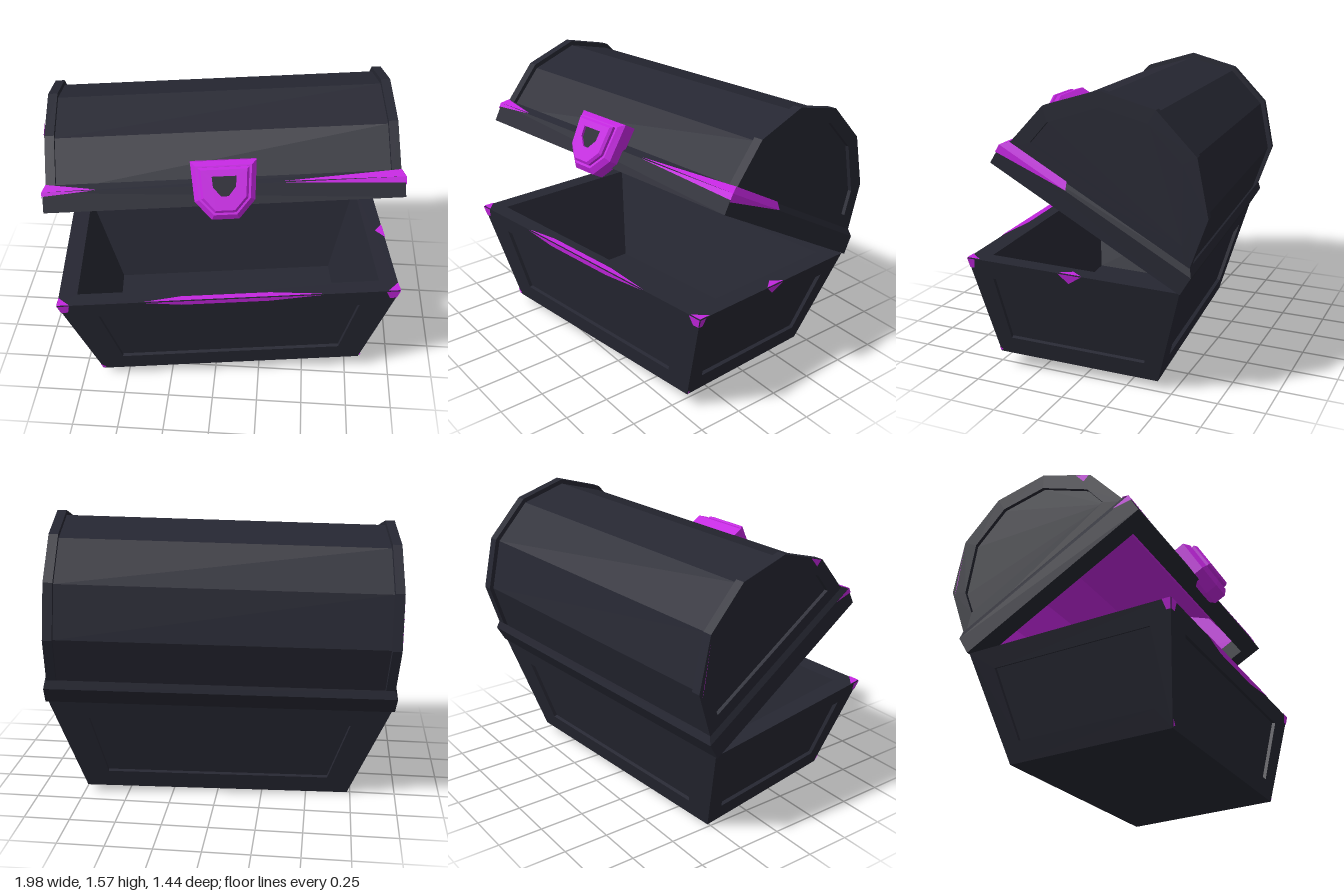
import * as THREE from 'three';

const dark = new THREE.MeshStandardMaterial({ color: 0x262732, flatShading: true });
dark.name = 'charcoal';
const violet = new THREE.MeshStandardMaterial({ color: 0xc426e0, flatShading: true, side: THREE.DoubleSide });
violet.name = 'violet';

const V = (x, y, z) => new THREE.Vector3(x, y, z);

// Mesh from a list of convex polygons, corners counter-clockwise from outside
function polyMesh(name, polys, material) {
  const pos = [];
  for (const p of polys)
    for (let i = 1; i < p.length - 1; i++) for (const v of [p[0], p[i], p[i + 1]]) pos.push(v.x, v.y, v.z);
  const g = new THREE.BufferGeometry();
  g.setAttribute('position', new THREE.Float32BufferAttribute(pos, 3));
  g.computeVertexNormals();
  const m = new THREE.Mesh(g, material);
  m.name = name;
  return m;
}

// Quads joining two closed loops of equal length
const ring = (a, b) => a.map((p, i) => {
  const j = (i + 1) % a.length;
  return [p, a[j], b[j], b[i]];
});
// Frame around a recessed floor
const panel = (outer, inner, floor) => [...ring(outer, inner), ...ring(inner, floor), floor];

const normalOf = (a, b, c) => b.clone().sub(a).cross(c.clone().sub(a)).normalize();
const onQuad = (q, u, v, lift = 0) =>
  q[0].clone().lerp(q[1], u).lerp(q[3].clone().lerp(q[2], u), v).addScaledVector(normalOf(q[0], q[1], q[3]), lift);

function makeBase() {
  const base = new THREE.Group();
  base.name = 'base';
  const signs = [[-1, 1], [1, 1], [1, -1], [-1, -1]];
  const rect = (hx, hz, y) => signs.map(([sx, sz]) => V(sx * hx, y, sz * hz));
  const H = 0.57;
  const bottom = rect(0.735, 0.44, 0), top = rect(0.92, 0.56, H);
  const sides = [0, 1, 2, 3].map(k => {
    const n = (k + 1) % 4;
    return [bottom[k], bottom[n], top[n], top[k]];
  });

  // Sloping walls with sunken panels
  const uv = [[0.1, 0.18], [0.9, 0.18], [0.9, 0.82], [0.1, 0.82]];
  sides.forEach(q => base.add(polyMesh('wallPanel',
    panel(q, uv.map(([u, v]) => onQuad(q, u, v)), uv.map(([u, v]) => onQuad(q, u, v, -0.02))), dark)));
  base.add(polyMesh('baseInterior', panel(top, rect(0.82, 0.465, H), rect(0.66, 0.36, 0.05)), dark));
  base.add(polyMesh('baseUnderside', [[...bottom].reverse()], dark));

  // Worn patches along the edges
  const chip = (q, pts) => base.add(polyMesh('wornPatch', [pts.map(([u, v]) => onQuad(q, u, v, 0.004))], violet));
  chip(sides[0], [[0.25, 1], [0.36, 0.95], [0.62, 0.95], [0.78, 1]]);
  chip(top, [[0.25, 0], [0.78, 0], [0.62, 0.03], [0.36, 0.03]]);
  chip(sides[1], [[0.44, 1], [0.49, 0.91], [0.55, 1]]);
  chip(top, [[1, 0.44], [1, 0.55], [0.975, 0.5]]);
  for (const k of [0, 1]) {
    chip(sides[k], [[0, 1], [0, 0.91], [0.02, 0.91], [0.035, 1]]);
    chip(sides[(k + 3) % 4], [[1, 1], [0.96, 1], [0.98, 0.91], [1, 0.91]]);
    const x = k, e = k ? 0.965 : 0.035;
    chip(top, [[x, 0], [e, 0], [x, 0.06]]);
  }
  chip(sides[0], [[0, 0.08], [0, 0.01], [0.015, 0.03]]);
  chip(sides[1], [[0, 0.01], [0.02, 0.03], [0, 0.05]]);
  return base;
}

function makeLid() {
  const lid = new THREE.Group();
  lid.name = 'lid';
  // Mirrored arch profiles as [z, y], from back to front
  const arch = half => [...half.map(([z, y]) => [-z, y]), ...half.slice(0, -1).reverse()];
  const trim = arch([[0.54, 0.105], [0.48, 0.393], [0.28, 0.612], [0, 0.69]]);
  const dome = arch([[0.52, 0.105], [0.46, 0.378], [0.266, 0.59], [0, 0.664]]);
  const inset = arch([[0.445, 0.2], [0.42, 0.335], [0.237, 0.545], [0, 0.612]]);
  const hollow = arch([[0.465, 0.1], [0.43, 0.35], [0.25, 0.55], [0, 0.61]]);
  const at = (profile, x) => profile.map(([z, y]) => V(x, y, z));
  const strip = (a, b) => a.slice(0, -1).map((p, i) => [a[i + 1], b[i + 1], b[i], p]);
  const X = 0.92, T = 0.87, C = 0.815;

  // Arched shell with a raised band at each end
  const loops = [at(trim, -X), at(trim, -T), at(dome, -T), at(dome, T), at(trim, T), at(trim, X)];
  lid.add(polyMesh('archedShell', loops.slice(1).flatMap((l, i) => strip(loops[i], l)), dark));
  for (const s of [1, -1]) {
    const l = [at(trim, s * X), at(inset, s * X), at(inset, s * (X - 0.02))];
    if (s < 0) l.forEach(a => a.reverse());
    lid.add(polyMesh('lidEndPanel', panel(...l), dark));
  }

  // Coloured lining
  lid.add(polyMesh('lidLining', [
    ...strip(at(hollow, -C), at(hollow, C)).map(p => p.reverse()),
    at(hollow, -C), at(hollow, C).reverse()], violet));

  // Rim frame with a bevelled upper edge
  const RX = 0.935, RZ = 0.565;
  const box = (P, x, z) => {
    const p = new P();
    p.moveTo(-x, -z).lineTo(x, -z).lineTo(x, z).lineTo(-x, z).closePath();
    return p;
  };
  const shape = box(THREE.Shape, RX, RZ);
  shape.holes.push(box(THREE.Path, C, 0.465));
  const rimGeo = new THREE.ExtrudeGeometry(shape, { depth: 0.105, bevelEnabled: false });
  const rim = new THREE.Mesh(rimGeo.rotateX(-Math.PI / 2), dark);
  rim.name = 'lidRim';
  lid.add(rim);
  const rect = (x, z, y) => [V(-x, y, z), V(x, y, z), V(x, y, -z), V(-x, y, -z)];
  lid.add(polyMesh('rimBevel', ring(rect(RX, RZ, 0.105), rect(0.918, 0.532, 0.14)), dark));

  // Worn patches on the rim and end band
  const chip = (...pts) => lid.add(polyMesh('wornPatch', [pts.map(p => V(...p))], violet));
  chip([0.3, 0.112, 0.565], [0.939, 0.108, 0.569], [0.92, 0.144, 0.537]);
  chip([0.3, 0.105, 0.569], [0.939, 0.075, 0.569], [0.939, 0.108, 0.569]);
  chip([0.939, 0.108, 0.569], [0.939, 0.108, 0.17], [0.922, 0.144, 0.19], [0.922, 0.144, 0.537]);
  chip([0.939, 0.065, 0.569], [0.939, 0.108, 0.17], [0.939, 0.108, 0.569]);
  chip([-0.939, 0.108, 0.569], [-0.66, 0.112, 0.565], [-0.92, 0.144, 0.537]);
  chip([-0.939, 0.085, 0.569], [-0.66, 0.108, 0.569], [-0.939, 0.108, 0.569]);
  chip([-0.939, 0.075, 0.569], [-0.939, 0.108, 0.569], [-0.939, 0.108, 0.46]);
  chip([-0.924, 0.36, -0.48], [-0.924, 0.41, -0.435], [-0.924, 0.6, -0.285]);
  chip([-0.924, 0.4, 0.47], [-0.924, 0.46, 0.415], [-0.924, 0.39, 0.43]);

  lid.add(makeClasp());
  return lid;
}

function makeClasp() {
  const clasp = new THREE.Group();
  clasp.name = 'clasp';
  const half = [[0.17, 0.235], [0.155, 0.03], [0.07, -0.065]];
  const hole = [[0.075, 0.17], [0.07, 0.1], [0.025, 0.045]];
  const outline = (h, s) => [...h, ...h.map(([x, y]) => [-x, y]).reverse()]
    .map(([x, y]) => new THREE.Vector2(x * s, 0.1 + (y - 0.1) * s));
  const add = (name, s, material, z, depth, bevel, cut) => {
    const shape = new THREE.Shape(outline(cut === 'self' ? hole : half, s));
    if (cut === true) shape.holes.push(new THREE.Path(outline(hole, 1)));
    const g = new THREE.ExtrudeGeometry(shape, {
      depth, bevelEnabled: bevel > 0, bevelSize: bevel, bevelThickness: bevel, bevelOffset: -bevel, bevelSegments: 1,
    });
    const m = new THREE.Mesh(g, material);
    m.position.z = z;
    m.name = name;
    clasp.add(m);
  };
  // Shield body, raised ring and dark keyhole
  add('claspBody', 1, violet, 0.55, 0.07, 0.025, false);
  add('claspRing', 0.77, violet, 0.645, 0.016, 0.012, true);
  add('keyhole', 1.1, dark, 0.644, 0.005, 0, 'self');
  return clasp;
}

export function createModel() {
  const chest = new THREE.Group();
  chest.name = 'chest';
  chest.add(makeBase());

  // Lid swung open on the back edge
  const hinge = new THREE.Group();
  hinge.name = 'lidHinge';
  hinge.position.set(0, 0.572, -0.56);
  hinge.rotation.x = -0.478;
  const lid = makeLid();
  lid.position.z = 0.56;
  hinge.add(lid);
  chest.add(hinge);

  // Slight overall tilt
  chest.rotation.set(-0.057, 0.107, 0.031, 'YXZ');
  chest.position.set(0.045, 0.05, 0.1);

  const model = new THREE.Group();
  model.name = 'treasureChest';
  model.add(chest);
  return model;
}
